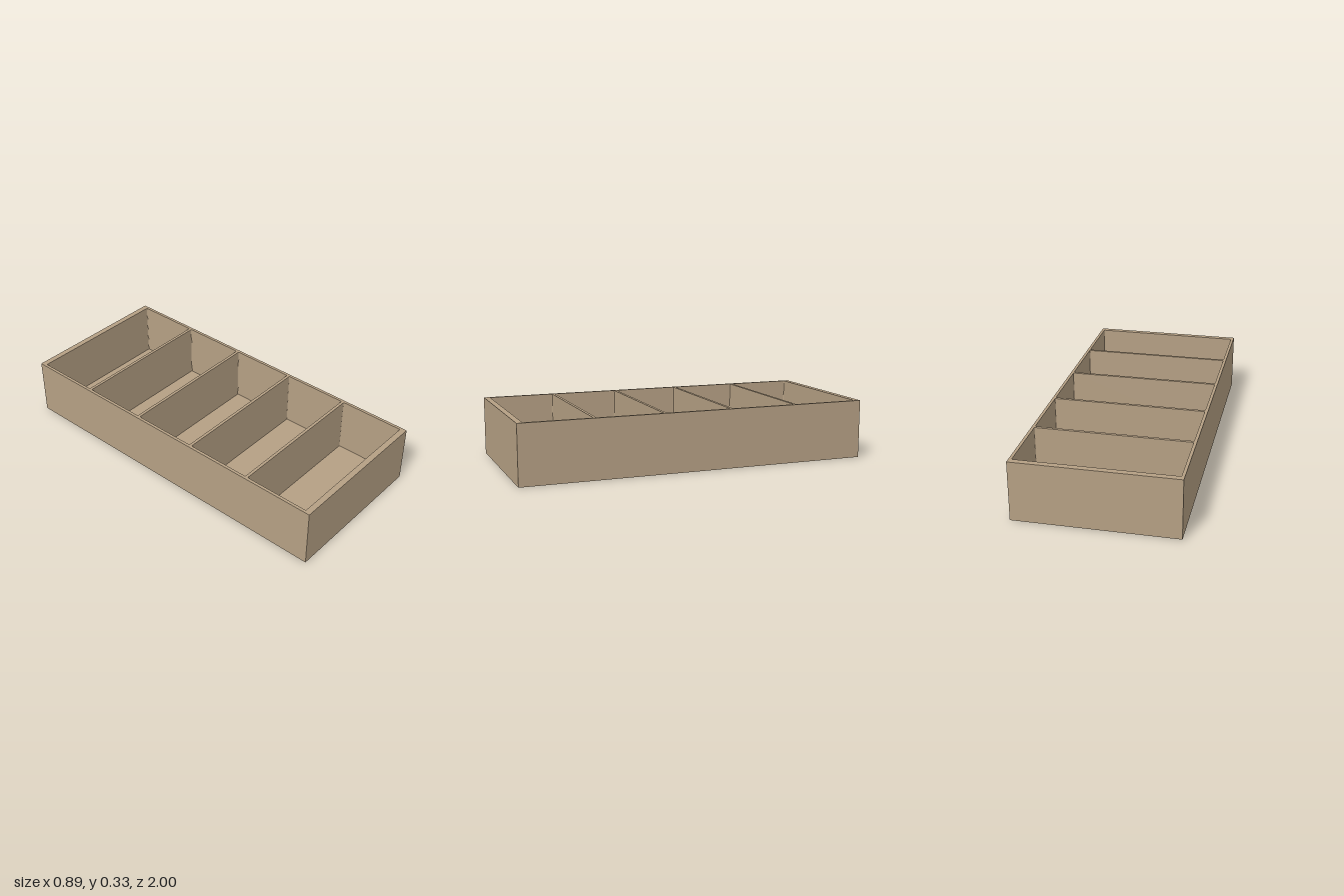
import * as THREE from 'three';

const WIDTH = 0.889, LENGTH = 2, HEIGHT = 0.333;
const WALL = 0.0167, FLOOR = 0.0167;
const POCKETS = 5, POCKET_LENGTH = 0.3733, PITCH = POCKET_LENGTH + WALL;
const CORNER = 0.006;

// Rectangle centred on (0, cy) with slightly rounded corners
function roundedRect(path, w, l, cy, r) {
  const x = w / 2, y0 = cy - l / 2, y1 = cy + l / 2;
  path.moveTo(-x + r, y0);
  path.lineTo(x - r, y0);
  path.quadraticCurveTo(x, y0, x, y0 + r);
  path.lineTo(x, y1 - r);
  path.quadraticCurveTo(x, y1, x - r, y1);
  path.lineTo(-x + r, y1);
  path.quadraticCurveTo(-x, y1, -x, y1 - r);
  path.lineTo(-x, y0 + r);
  path.quadraticCurveTo(-x, y0, -x + r, y0);
  return path;
}

export function createModel() {
  const group = new THREE.Group();
  group.name = 'dividedTray';
  const tan = new THREE.MeshStandardMaterial({ color: 0xb5a084 });
  tan.name = 'tan';

  // Outer walls and dividers: one slab with a row of pockets cut through it
  const outline = new THREE.Shape();
  outline.moveTo(-WIDTH / 2, -LENGTH / 2);
  outline.lineTo(WIDTH / 2, -LENGTH / 2);
  outline.lineTo(WIDTH / 2, LENGTH / 2);
  outline.lineTo(-WIDTH / 2, LENGTH / 2);
  outline.closePath();
  for (let i = 0; i < POCKETS; i++) {
    const centre = (i - (POCKETS - 1) / 2) * PITCH;
    outline.holes.push(roundedRect(new THREE.Path(), WIDTH - 2 * WALL, POCKET_LENGTH, centre, CORNER));
  }
  const wallGeometry = new THREE.ExtrudeGeometry(outline, {
    depth: HEIGHT - FLOOR, bevelEnabled: false, curveSegments: 3,
  });
  wallGeometry.rotateX(-Math.PI / 2);
  const walls = new THREE.Mesh(wallGeometry, tan);
  walls.name = 'wallsAndDividers';
  walls.position.y = FLOOR;
  group.add(walls);

  // Floor under all the pockets
  const floor = new THREE.Mesh(new THREE.BoxGeometry(WIDTH, FLOOR, LENGTH), tan);
  floor.name = 'floor';
  floor.position.y = FLOOR / 2;
  group.add(floor);

  return group;
}
